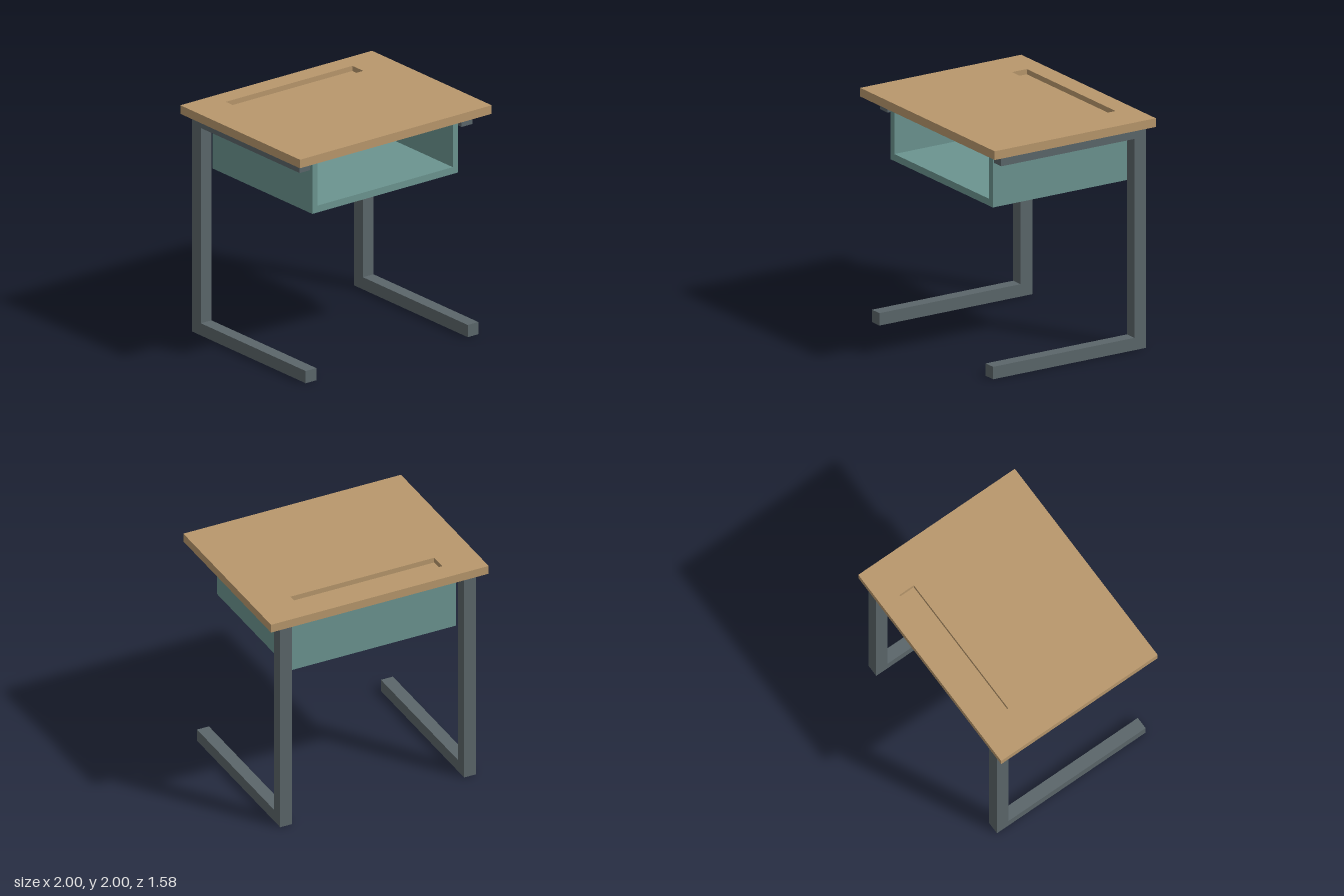
import * as THREE from 'three';

const wood = new THREE.MeshStandardMaterial({ color: 0xb8976c });
const steel = new THREE.MeshStandardMaterial({ color: 0x5b666a });
const teal = new THREE.MeshStandardMaterial({ color: 0x6b9490 });

const polygon = (points, Type = THREE.Shape) =>
  new Type(points.map(([x, y]) => new THREE.Vector2(x, y)));

const rectangle = (x0, y0, x1, y1, Type) =>
  polygon([[x0, y0], [x1, y0], [x1, y1], [x0, y1]], Type);

const extrude = (shape, depth) =>
  new THREE.ExtrudeGeometry(shape, { depth, bevelEnabled: false });

function add(parent, name, geometry, material, x = 0, y = 0, z = 0) {
  const mesh = new THREE.Mesh(geometry, material);
  mesh.name = name;
  mesh.position.set(x, y, z);
  parent.add(mesh);
  return mesh;
}

// Wooden top with a pencil groove: a slotted board and a floor set in the slot
function createTop() {
  const top = new THREE.Group();
  top.name = 'deskTop';
  const outline = rectangle(-1, -0.79, 1, 0.79);
  outline.holes.push(rectangle(-0.66, 0.475, 0.66, 0.62, THREE.Path));
  const board = extrude(outline, 0.075).rotateX(-Math.PI / 2);
  add(top, 'board', board, wood, 0, 1.925, 0);
  add(top, 'grooveFloor', new THREE.BoxGeometry(1.32, 0.03, 0.145), wood, 0, 1.94, -0.5475);
  return top;
}

// Storage box open at the front
function createStorageBox() {
  const box = new THREE.Group();
  box.name = 'storageBox';
  const front = 0.65, back = -0.67, wall = 0.055;
  const outline = rectangle(-0.76, 1.425, 0.76, 1.925);
  outline.holes.push(rectangle(-0.705, 1.485, 0.705, 1.865, THREE.Path));
  add(box, 'boxShell', extrude(outline, front - back), teal, 0, 0, back);
  add(box, 'boxBack', new THREE.BoxGeometry(1.41, 0.38, wall), teal, 0, 1.675, back + wall / 2);
  return box;
}

// C-shaped side frame: foot, upright and top rail, drawn in (-z, y)
function createFrameGeometry() {
  const profile = polygon([
    [-0.74, 0], [0.76, 0], [0.76, 1.925], [-0.66, 1.925],
    [-0.66, 1.82], [0.645, 1.82], [0.645, 0.107], [-0.74, 0.107],
  ]);
  return extrude(profile, 0.11).translate(0, 0, -0.055).rotateY(Math.PI / 2);
}

export function createModel() {
  const desk = new THREE.Group();
  desk.name = 'schoolDesk';
  desk.add(createTop(), createStorageBox());
  const frame = createFrameGeometry();
  for (const [name, side] of [['leftFrame', 1], ['rightFrame', -1]]) {
    add(desk, name, frame, steel, side * 0.845);
  }
  return desk;
}
